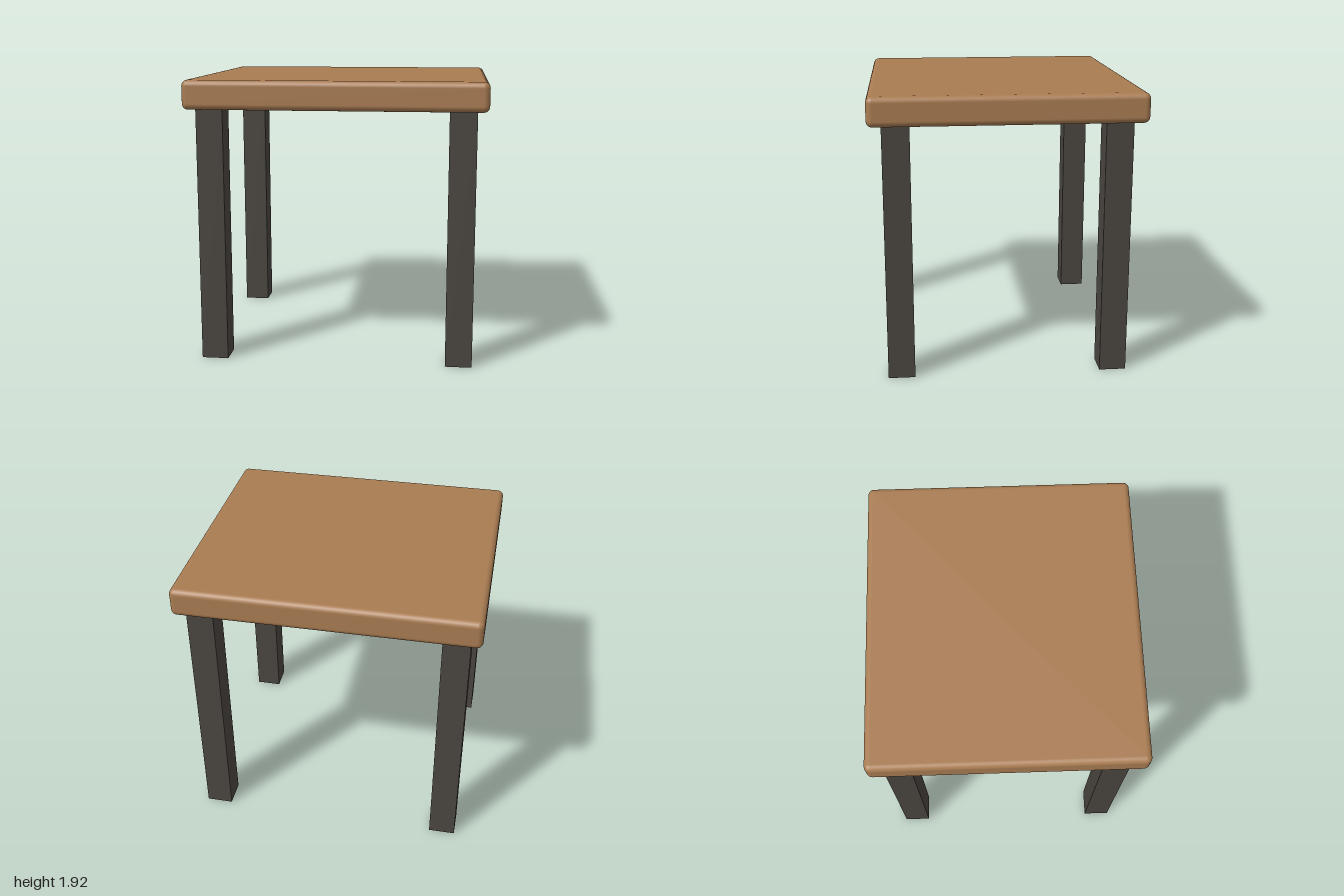
import * as THREE from 'three';
import { RoundedBoxGeometry } from 'three/addons/geometries/RoundedBoxGeometry.js';

export function createModel() {
  const wood = new THREE.MeshStandardMaterial({ name: 'warm wood', color: 0xa97c52 });
  const darkMetal = new THREE.MeshStandardMaterial({ name: 'dark metal', color: 0x4a4640 });

  const table = new THREE.Group();
  table.name = 'table';

  // Thick slab with softly rounded edges
  const height = 1.92, thickness = 0.195;
  const top = new THREE.Mesh(new RoundedBoxGeometry(2, thickness, 1.8, 4, 0.04), wood);
  top.name = 'tableTop';
  top.position.y = height - thickness / 2;
  table.add(top);

  // Four square legs, inset from the corners
  const legHeight = height - thickness;
  const legGeometry = new THREE.BoxGeometry(0.18, legHeight, 0.18);
  for (const [z, end] of [[0.72, 'front'], [-0.72, 'back']]) {
    for (const [x, side] of [[0.837, 'Left'], [-0.837, 'Right']]) {
      const leg = new THREE.Mesh(legGeometry, darkMetal);
      leg.name = `${end}${side}Leg`;
      leg.position.set(x, legHeight / 2, z);
      table.add(leg);
    }
  }
  return table;
}
